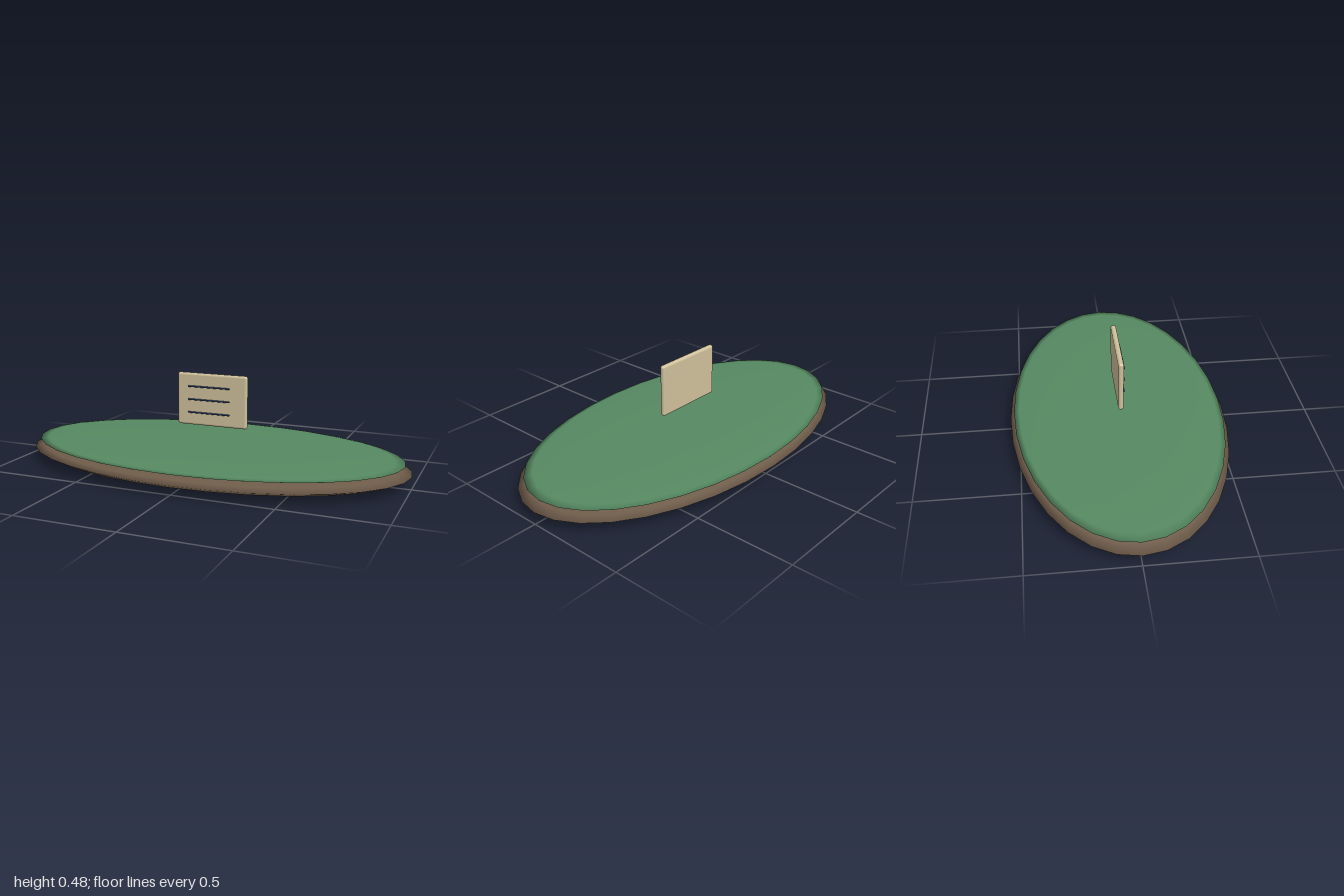
import * as THREE from 'three';
import { RoundedBoxGeometry } from 'three/addons/geometries/RoundedBoxGeometry.js';

const material = (name, color) => {
  const m = new THREE.MeshStandardMaterial({ color });
  m.name = name;
  return m;
};

export function createModel() {
  const group = new THREE.Group();
  const soil = material('soil brown', 0x6f5c4a);
  const grass = material('grass green', 0x568a62);
  const board = material('cream board', 0xd0c19c);
  const ink = material('ink blue', 0x334f80);

  const add = (name, geometry, mat, x, y, z) => {
    const mesh = new THREE.Mesh(geometry, mat);
    mesh.name = name;
    mesh.position.set(x, y, z);
    group.add(mesh);
    return mesh;
  };

  // Flattened oval mound with a thinner grass layer on top
  const oval = new THREE.SphereGeometry(1, 32, 10);
  add('soilBase', oval, soil, 0, 0.06, 0).scale.set(1, 0.06, 0.545);
  add('grassTop', oval, grass, 0, 0.105, 0).scale.set(0.967, 0.018, 0.525);

  // Floating sign panel with softly rounded edges
  add('signBoard', new RoundedBoxGeometry(0.372, 0.266, 0.027, 3, 0.012), board, 0, 0.344, 0);

  // Three thin written lines just in front of the panel
  const line = new THREE.CapsuleGeometry(0.004, 0.217, 4, 8).rotateZ(Math.PI / 2);
  for (let i = 0; i < 3; i++) {
    add(`signLine${i + 1}`, line, ink, -0.013, 0.411 - i * 0.0665, 0.021);
  }
  return group;
}
